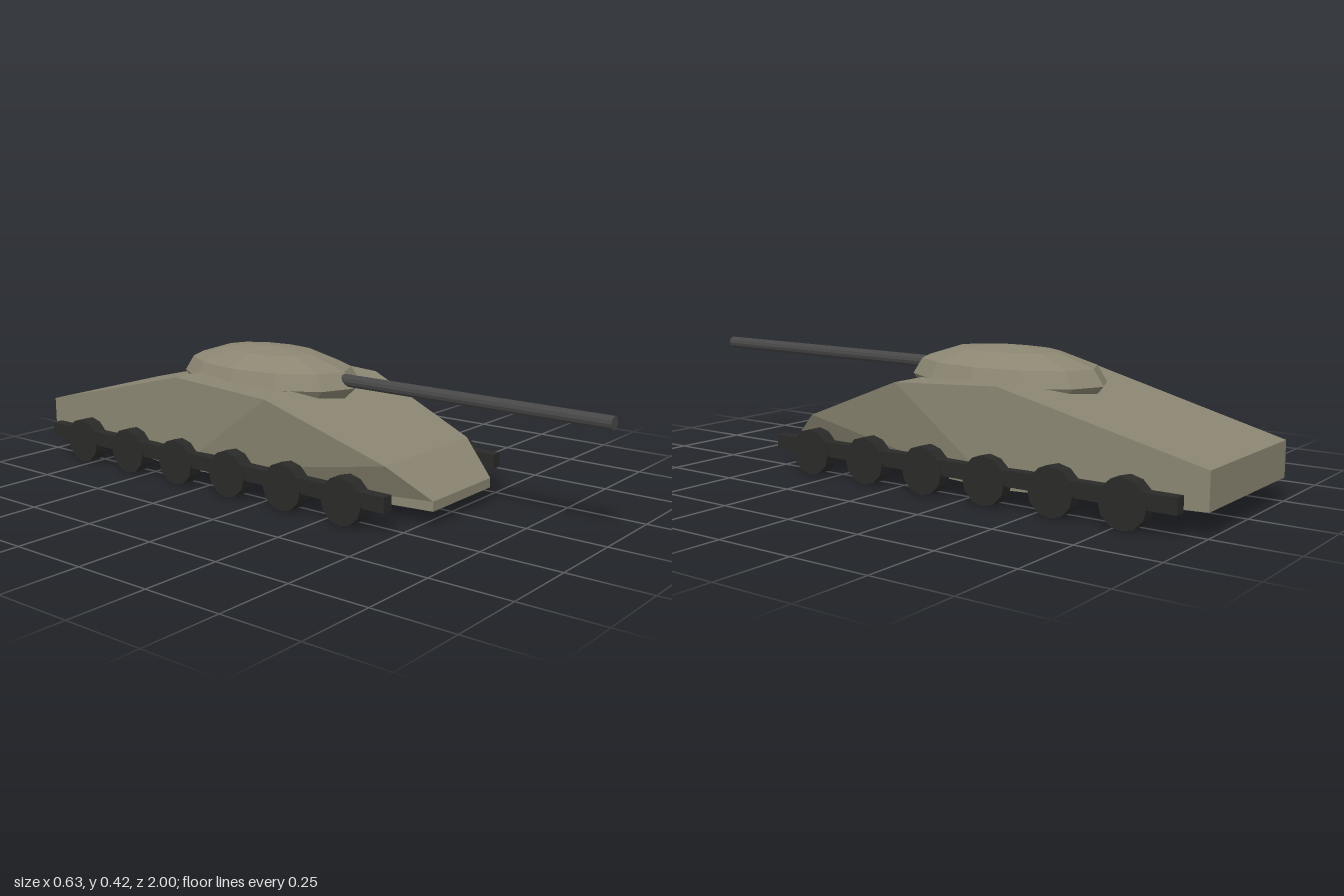
import * as THREE from 'three';

const paint = (color) => new THREE.MeshStandardMaterial({ color, flatShading: true });

function addMesh(parent, name, geometry, material, x = 0, y = 0, z = 0) {
  const mesh = new THREE.Mesh(geometry, material);
  mesh.name = name;
  mesh.position.set(x, y, z);
  parent.add(mesh);
  return mesh;
}

// Faceted hull: a closed side outline of [half width, y, z], joined across x
function hullGeometry() {
  const outline = [
    [0.155, 0.075, 0.535], [0.217, 0.17, 0.41], [0.28, 0.32, 0.01], [0.28, 0.34, -0.36],
    [0.25, 0.18, -1], [0.25, 0.07, -1], [0.28, 0.045, -0.36], [0.155, 0.045, 0.535],
  ];
  const n = outline.length, hub = 6;
  const pos = [];
  const corner = (i, s) => pos.push(s * outline[i][0], outline[i][1], outline[i][2]);
  for (let i = 0; i < n; i++) {
    const j = (i + 1) % n;
    // strip across the hull
    corner(i, -1); corner(i, 1); corner(j, 1);
    corner(i, -1); corner(j, 1); corner(j, -1);
    // side walls fan out from the lower middle corner
    if (i !== hub && j !== hub) {
      corner(hub, 1); corner(j, 1); corner(i, 1);
      corner(hub, -1); corner(i, -1); corner(j, -1);
    }
  }
  const g = new THREE.BufferGeometry();
  g.setAttribute('position', new THREE.Float32BufferAttribute(pos, 3));
  g.computeVertexNormals();
  return g;
}

// Twelve-sided dome stretched along z
function turretGeometry() {
  const profile = [[0, 0.26], [0.84, 0.26], [1, 0.322], [0.9, 0.371], [0.525, 0.41], [0, 0.424]];
  const g = new THREE.LatheGeometry(profile.map(([r, y]) => new THREE.Vector2(r, y)), 12);
  return g.scale(0.2, 1, 0.335);
}

export function createModel() {
  const model = new THREE.Group();
  model.name = 'tank';
  const armour = paint(0x8b8672);
  const steel = paint(0x474747);
  const rubber = paint(0x2a2b29);

  addMesh(model, 'hull', hullGeometry(), armour);
  addMesh(model, 'turret', turretGeometry(), armour, 0, 0, -0.208);

  // Gun barrel, rooted inside the turret
  const barrel = new THREE.CylinderGeometry(0.02, 0.02, 1, 12).rotateX(Math.PI / 2);
  addMesh(model, 'gunBarrel', barrel, steel, 0, 0.346, 0.5);

  // Running gear on both sides
  const wheel = new THREE.CylinderGeometry(0.073, 0.073, 0.048, 12).rotateZ(Math.PI / 2);
  const bar = new THREE.BoxGeometry(0.036, 0.047, 1.415);
  for (const side of [1, -1]) {
    const gear = new THREE.Group();
    gear.name = side > 0 ? 'leftRunningGear' : 'rightRunningGear';
    model.add(gear);
    addMesh(gear, 'trackBar', bar, rubber, side * 0.293, 0.089, -0.233);
    for (let i = 0; i < 6; i++) {
      addMesh(gear, 'roadWheel', wheel, rubber, side * 0.293, 0.073, 0.326 - i * 0.222);
    }
  }
  return model;
}
